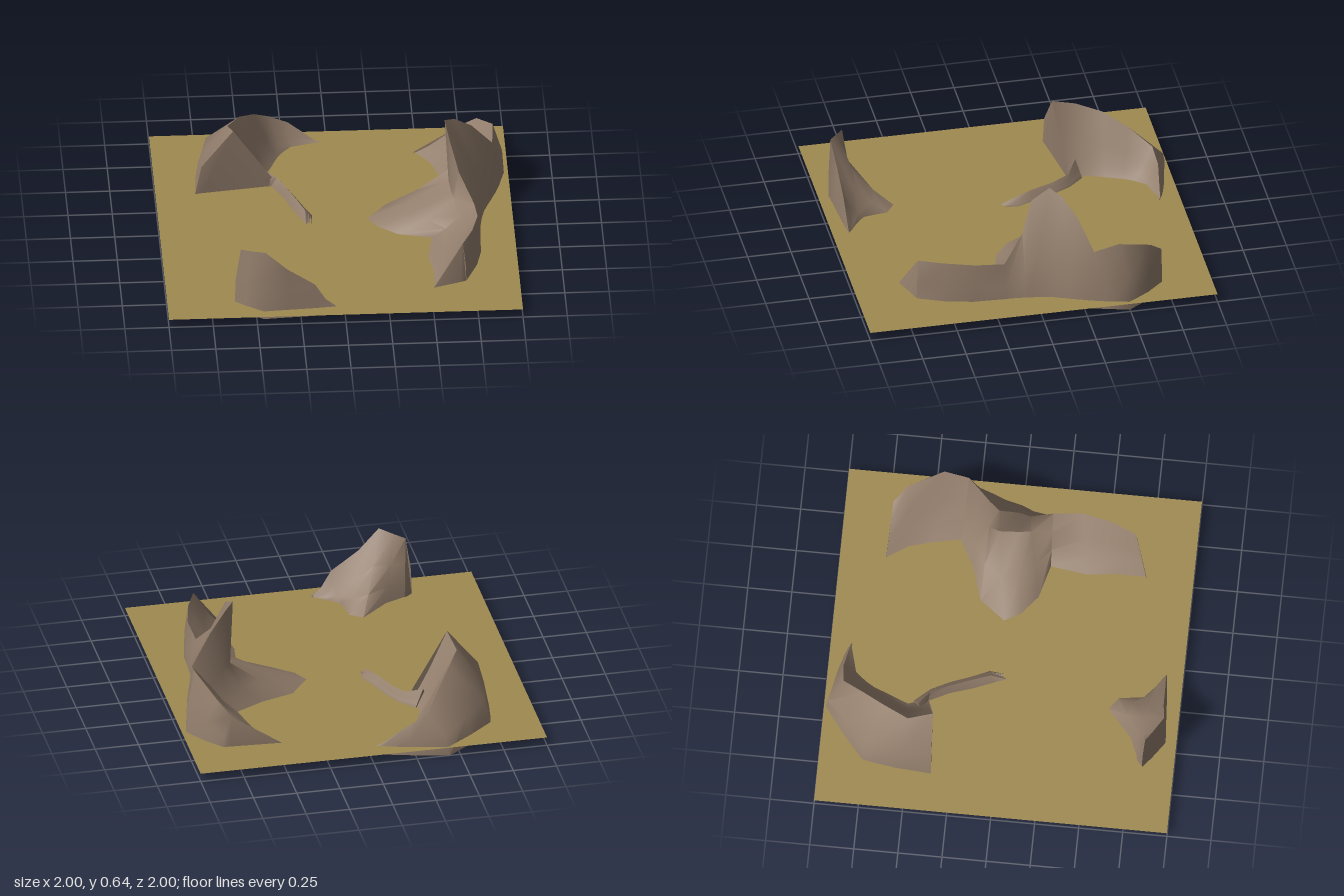
import * as THREE from 'three';
import { toCreasedNormals } from 'three/addons/utils/BufferGeometryUtils.js';

const GROUND_Y = 0.05;

const sand = new THREE.MeshStandardMaterial({ color: 0x9f8a50, side: THREE.DoubleSide });
sand.name = 'sand';
const stone = new THREE.MeshStandardMaterial({ color: 0x947f6d });
stone.name = 'stone';
const hollow = new THREE.MeshStandardMaterial({ color: 0x030303 });
hollow.name = 'hollow';

// Row: outer foot x,z | crest x,y,z | inner foot x,z | knee t,y (break in the inner slope)
// Gives a cross-section from the outer foot over the crest to the inner foot,
// then a short lip turned up underneath on both sides.
function section([ox, oz, cx, cy, cz, ix, iz, t, ky]) {
  const at = (x, z, k, y) => [cx + (x - cx) * k, y, cz + (z - cz) * k];
  const midY = GROUND_Y + (ky - GROUND_Y) * 0.42;
  const outer = [ox, 0, oz];
  const inner = at(ix, iz, 1.27, 0);
  const width = Math.hypot(ox - inner[0], oz - inner[2]);
  const inset = Math.min(0.035 / width, 0.3);
  const lip = (from, to) => [from[0] + (to[0] - from[0]) * inset, 0.035, from[2] + (to[2] - from[2]) * inset];
  return [
    outer,
    at(ox, oz, 0.8, cy * 0.5),
    [cx, cy, cz],
    at(ix, iz, t, ky),
    at(ix, iz, (1 + t) / 2, midY),
    [ix, GROUND_Y, iz],
    inner,
    lip(inner, outer),
    lip(outer, inner),
  ];
}

function geometryFrom(points, index) {
  const g = new THREE.BufferGeometry();
  g.setAttribute('position', new THREE.Float32BufferAttribute(points.flat(), 3));
  g.setIndex(index);
  return toCreasedNormals(g, 0.85);
}

// Lofts the rows into a rock with closed ends and a dark underside.
function makeRock(name, rows) {
  const points = rows.flatMap(section);
  const n = 9;
  const skin = [], base = [];
  for (let i = 0; i < rows.length - 1; i++) {
    for (let j = 0; j < n; j++) {
      const k = (j + 1) % n;
      const a = i * n + j, b = i * n + k, c = a + n, d = b + n;
      (j === 7 ? base : skin).push(a, b, c, b, d, c);
    }
  }
  // End walls fan out from the crest
  const last = (rows.length - 1) * n;
  for (let j = 1; j < n - 1; j++) {
    const p = (2 + j) % n, q = (3 + j) % n;
    skin.push(2, q, p, last + 2, last + p, last + q);
  }
  const group = new THREE.Group();
  group.name = name;
  const body = new THREE.Mesh(geometryFrom(points, skin), stone);
  body.name = name + 'Surface';
  const under = new THREE.Mesh(geometryFrom(points, base), hollow);
  under.name = name + 'Underside';
  group.add(body, under);
  return group;
}

// Tall ridge on the left with a tongue sloping towards the middle
const tallRidge = [
  [0.81, -0.72, 0.76, 0.24, -0.725, 0.49, -0.74, 0.4, 0.16],
  [0.90, -0.62, 0.83, 0.32, -0.65, 0.57, -0.62, 0.4, 0.20],
  [0.98, -0.50, 0.91, 0.40, -0.45, 0.61, -0.48, 0.4, 0.22],
  [0.95, -0.38, 0.90, 0.36, -0.31, 0.64, -0.33, 0.4, 0.23],
  [0.91, -0.25, 0.78, 0.52, -0.24, 0.48, -0.245, 0.25, 0.29],
  [0.88, -0.17, 0.68, 0.61, -0.17, 0.29, -0.185, 0.08, 0.28],
  [0.85, -0.09, 0.62, 0.64, -0.11, 0.18, -0.04, -0.05, 0.24],
  [0.83, 0.00, 0.64, 0.58, 0.00, 0.23, 0.05, -0.03, 0.23],
  [0.82, 0.07, 0.69, 0.40, 0.06, 0.34, 0.14, 0.08, 0.23],
  [0.81, 0.18, 0.77, 0.26, 0.18, 0.53, 0.19, 0.35, 0.18],
  [0.80, 0.36, 0.78, 0.28, 0.35, 0.50, 0.40, 0.4, 0.17],
  [0.77, 0.50, 0.74, 0.29, 0.52, 0.52, 0.55, 0.4, 0.17],
  [0.70, 0.67, 0.68, 0.29, 0.66, 0.52, 0.73, 0.4, 0.18],
];

// Curved rock at the back right, tapering into a horn
const backRock = [
  [-0.785, -0.36, -0.56, 0.45, -0.37, -0.33, -0.42, 0.45, 0.24],
  [-0.77, -0.56, -0.585, 0.40, -0.51, -0.37, -0.53, 0.5, 0.22],
  [-0.74, -0.76, -0.51, 0.375, -0.65, -0.33, -0.63, 0.5, 0.20],
  [-0.60, -0.88, -0.42, 0.31, -0.78, -0.29, -0.73, 0.5, 0.17],
  [-0.44, -1.00, -0.33, 0.22, -0.90, -0.26, -0.78, 0.45, 0.14],
  [-0.22, -0.95, -0.22, 0.17, -0.91, -0.21, -0.84, 0.5, 0.10],
  [-0.04, -0.90, -0.07, 0.06, -0.89, -0.06, -0.88, 0.5, 0.055],
  [0.04, -0.88, 0.03, 0.03, -0.87, 0.02, -0.86, 0.5, 0.04],
];

// Low spur running forward from the back rock, then dipping under the sand
const lowSpur = [
  [-0.35, 0.60, -0.33, 0.04, 0.60, -0.31, 0.60, 0.5, 0.04],
  [-0.27, 0.30, -0.25, 0.03, 0.30, -0.23, 0.30, 0.5, 0.035],
  [-0.19, 0.03, -0.17, 0.045, 0.02, -0.14, 0.00, 0.5, 0.04],
  [-0.21, -0.06, -0.17, 0.09, -0.08, -0.13, -0.09, 0.5, 0.07],
  [-0.25, -0.17, -0.21, 0.10, -0.18, -0.17, -0.18, 0.5, 0.075],
  [-0.29, -0.30, -0.26, 0.10, -0.31, -0.22, -0.31, 0.5, 0.075],
  [-0.35, -0.42, -0.31, 0.11, -0.41, -0.27, -0.41, 0.5, 0.08],
  [-0.44, -0.43, -0.40, 0.15, -0.47, -0.35, -0.50, 0.5, 0.10],
];

// Small rock at the front right with a sheer front face
const frontRock = [
  [-0.03, 0.91, -0.06, 0.06, 0.905, -0.07, 0.89, 0.5, 0.055],
  [-0.11, 0.915, -0.11, 0.10, 0.905, -0.13, 0.85, 0.5, 0.07],
  [-0.17, 0.92, -0.17, 0.20, 0.91, -0.20, 0.79, 0.4, 0.12],
  [-0.32, 0.93, -0.33, 0.31, 0.915, -0.22, 0.65, 0.35, 0.18],
  [-0.46, 0.94, -0.45, 0.43, 0.93, -0.29, 0.60, 0.35, 0.25],
  [-0.56, 0.87, -0.53, 0.41, 0.875, -0.45, 0.74, 0.4, 0.25],
  [-0.62, 0.82, -0.585, 0.40, 0.835, -0.57, 0.79, 0.4, 0.24],
];

export function createModel() {
  const model = new THREE.Group();
  model.name = 'rockyGround';

  const ground = new THREE.Mesh(new THREE.PlaneGeometry(2, 2).rotateX(-Math.PI / 2), sand);
  ground.name = 'ground';
  ground.position.y = GROUND_Y;

  model.add(
    ground,
    makeRock('tallRidge', tallRidge),
    makeRock('backRock', backRock),
    makeRock('lowSpur', lowSpur),
    makeRock('frontRock', frontRock),
  );
  return model;
}
